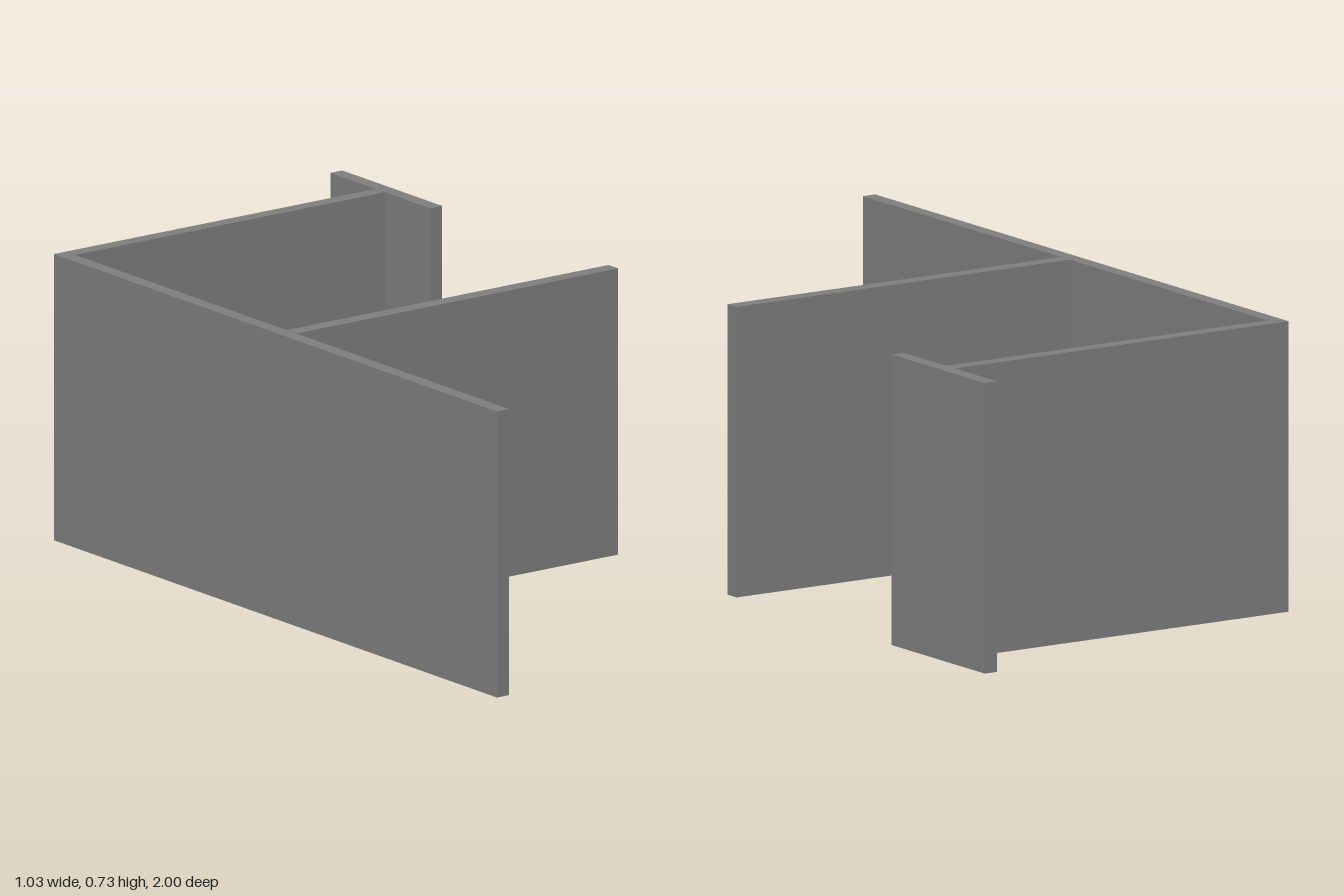
import * as THREE from 'three';

const HEIGHT = 0.733;

export function createModel() {
  const model = new THREE.Group();
  model.name = 'partitionWalls';
  const grey = new THREE.MeshStandardMaterial({ color: 0x808080 });
  grey.name = 'wallGrey';

  // Upright wall slab spanning the given floor rectangle
  function addWall(name, x0, x1, z0, z1) {
    const wall = new THREE.Mesh(new THREE.BoxGeometry(x1 - x0, HEIGHT, z1 - z0), grey);
    wall.name = name;
    wall.position.set((x0 + x1) / 2, HEIGHT / 2, (z0 + z1) / 2);
    model.add(wall);
  }

  // Long side wall, with two walls branching off it
  addWall('longWall', -0.516, -0.479, -0.815, 1);
  addWall('backWall', -0.479, 0.479, -0.815, -0.777);
  addWall('middleWall', -0.479, 0.516, 0.09, 0.13);
  // Short cross wall closing the end of the back wall
  addWall('endWall', 0.479, 0.516, -1, -0.591);

  return model;
}
